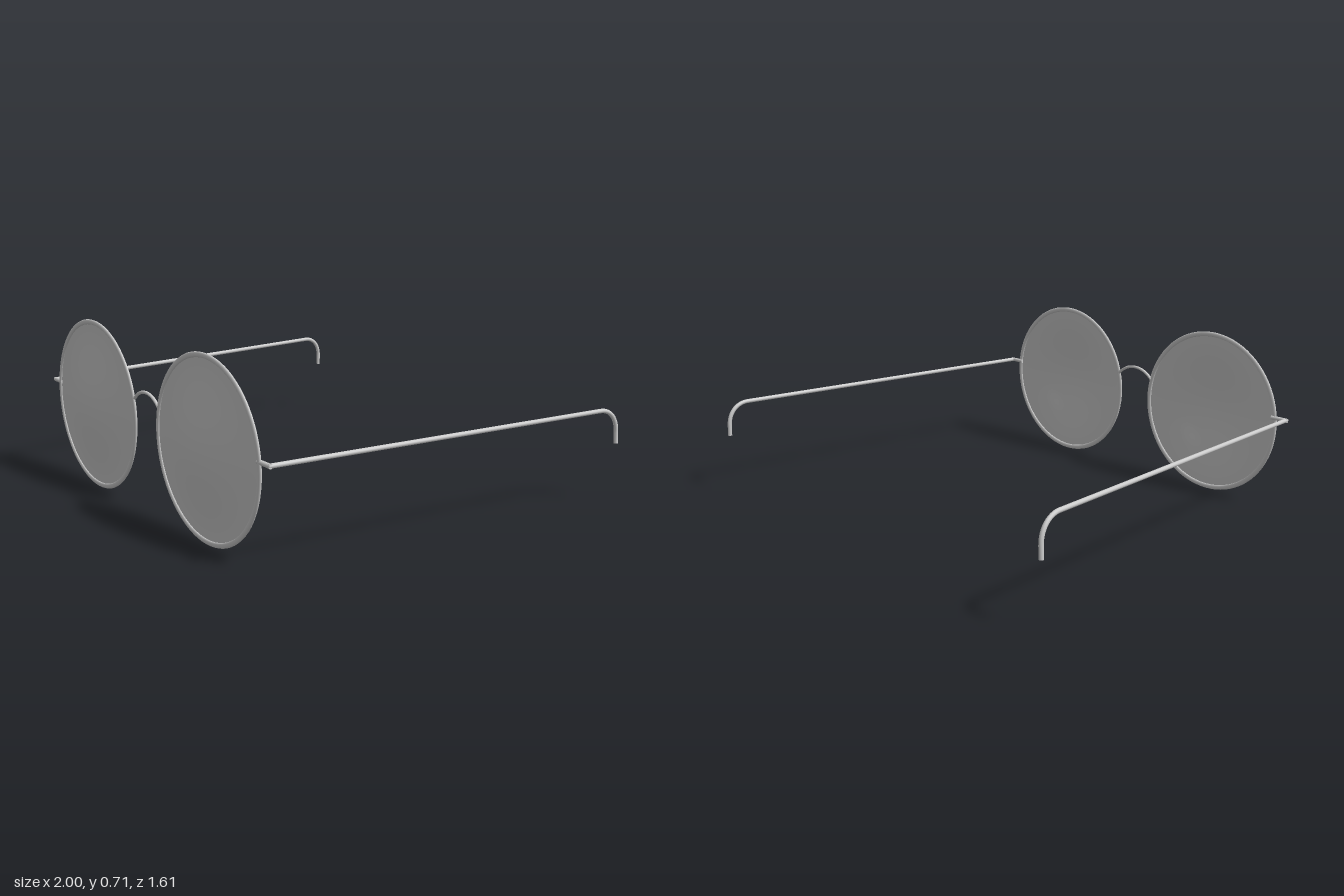
import * as THREE from 'three';

const RIM_X = 0.435, RIM_Y = 0.356, RIM_Z = 0.771;
const WIRE = 0.009;
const v = (x, y, z) => new THREE.Vector3(x, y, z);

export function createModel() {
  const model = new THREE.Group();
  model.name = 'roundGlasses';
  const metal = new THREE.MeshStandardMaterial({ color: 0xcccccc });
  const glass = new THREE.MeshStandardMaterial({ color: 0xcccccc, side: THREE.DoubleSide });

  const add = (parent, name, geometry, material = metal) => {
    const mesh = new THREE.Mesh(geometry, material);
    mesh.name = name;
    parent.add(mesh);
    return mesh;
  };

  // Round wire with a flat cap at both ends
  const addWire = (parent, name, curve, segments, radius) => {
    add(parent, name, new THREE.TubeGeometry(curve, segments, radius, 12));
    for (const t of [0, 1]) {
      const cap = add(parent, name + 'Cap', new THREE.CircleGeometry(radius, 12));
      const out = curve.getTangentAt(t).multiplyScalar(t ? 1 : -1);
      cap.position.copy(curve.getPointAt(t));
      cap.quaternion.setFromUnitVectors(v(0, 0, 1), out);
    }
  };

  // Thin lens bulging forward, easing to flat at its edge
  const lensProfile = [];
  const lensRadius = 0.342;
  for (let i = 0; i <= 24; i++) {
    const t = 1 - i / 24;
    lensProfile.push(new THREE.Vector2(lensRadius * t, 0.018 * (1 + Math.cos(Math.PI * t))));
  }
  const lensGeometry = new THREE.LatheGeometry(lensProfile, 64).rotateX(Math.PI / 2);

  // Rim wire, flattened front to back
  const rimGeometry = new THREE.TorusGeometry(0.3445, 0.0105, 12, 80).scale(1, 1, 0.6);

  for (const [label, s] of [['left', 1], ['right', -1]]) {
    const side = new THREE.Group();
    side.name = label + 'Side';
    model.add(side);

    add(side, label + 'Rim', rimGeometry).position.set(s * RIM_X, RIM_Y, RIM_Z);
    add(side, label + 'Lens', lensGeometry, glass).position.set(s * RIM_X, RIM_Y, RIM_Z);

    // Short end piece from the rim out to the temple
    addWire(side, label + 'EndPiece',
      new THREE.LineCurve3(v(s * 0.765, 0.393, 0.768), v(s * 0.842, 0.393, 0.768)), 1, WIRE);

    // Temple: straight arm, then a hook turning down behind the ear
    const temple = new THREE.CurvePath();
    temple.add(new THREE.LineCurve3(v(s * 0.834, 0.393, 0.772), v(s * 0.98, 0.393, -0.705)));
    temple.add(new THREE.CubicBezierCurve3(
      v(s * 0.98, 0.393, -0.705), v(s * 0.985, 0.393, -0.756),
      v(s * 0.987, 0.355, -0.796), v(s * 0.989, 0.295, -0.796)));
    temple.add(new THREE.LineCurve3(v(s * 0.989, 0.295, -0.796), v(s * 0.991, 0.25, -0.796)));
    addWire(side, label + 'Temple', temple, 150, WIRE);
  }

  // Arched nose bridge
  addWire(model, 'bridge', new THREE.CubicBezierCurve3(
    v(-0.098, 0.443, RIM_Z - 0.002), v(-0.045, 0.5, RIM_Z - 0.002),
    v(0.045, 0.5, RIM_Z - 0.002), v(0.098, 0.443, RIM_Z - 0.002)), 32, 0.0065);

  return model;
}
